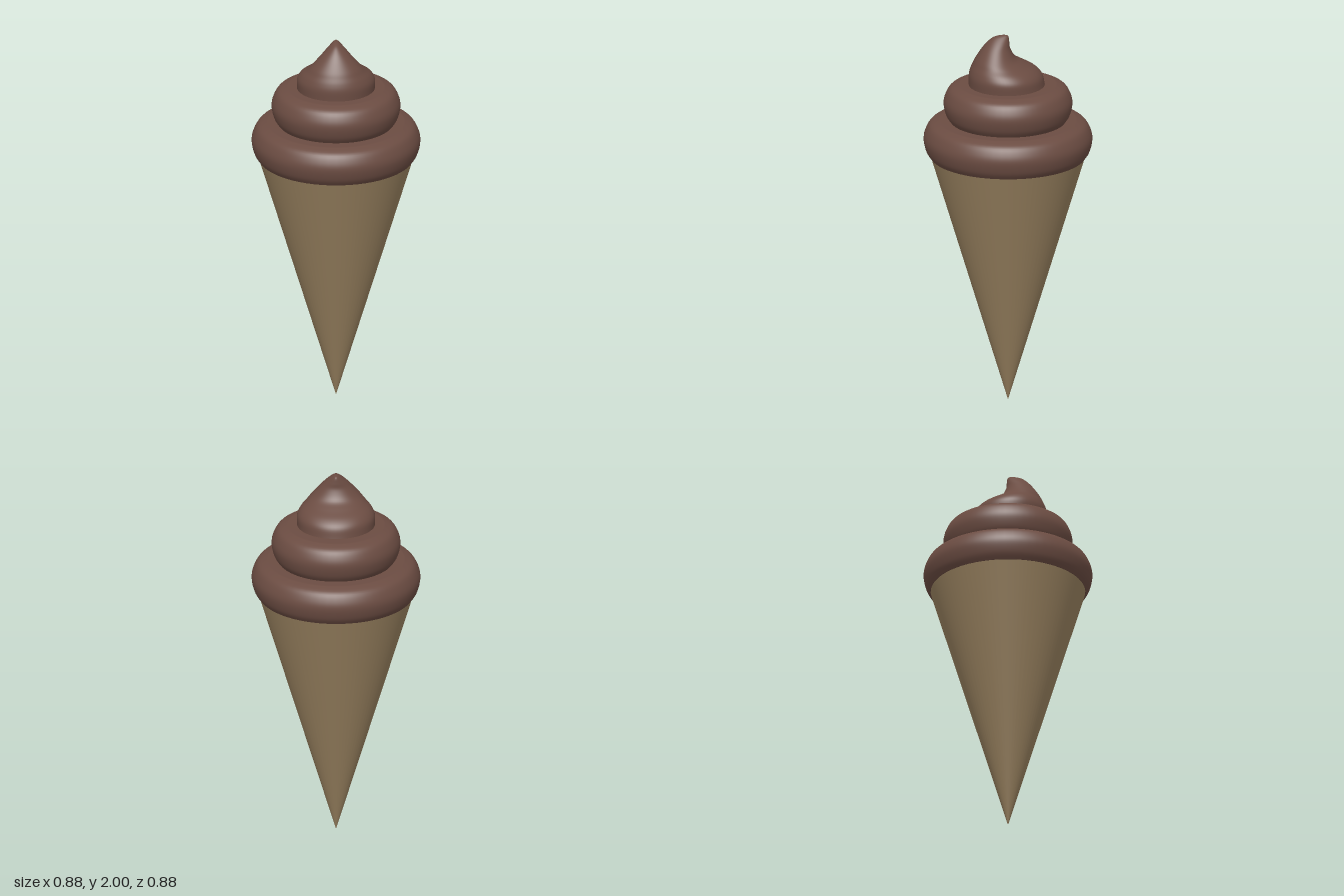
import * as THREE from 'three';

const SEGMENTS = 64;
const chocolate = new THREE.MeshStandardMaterial({ color: 0x6b4c42 });
const wafer = new THREE.MeshStandardMaterial({ color: 0x98815f });

function addMesh(group, name, geometry, material) {
  const mesh = new THREE.Mesh(geometry, material);
  mesh.name = name;
  group.add(mesh);
  return mesh;
}

// Soft bulging ring of cream: outer radius and underside height
function tierGeometry(radius, base) {
  const section = [
    [-0.034, 0], [-0.012, 0.035], [0, 0.09], [-0.009, 0.135],
    [-0.035, 0.175], [-0.085, 0.195],
  ].map(([dr, dy]) => new THREE.Vector2(radius + dr, base + dy));
  const outline = new THREE.SplineCurve(section).getPoints(24);
  const top = base + 0.195;
  return new THREE.LatheGeometry([
    new THREE.Vector2(0, base), new THREE.Vector2(radius - 0.034, base),
    ...outline,
    new THREE.Vector2(radius - 0.15, top), new THREE.Vector2(0, top),
  ], SEGMENTS);
}

// Curled peak: stacked oval sections, steep bulging front and scooped back
function peakGeometry() {
  // height, half width, front z, back z
  const rows = [
    [1.73, 0.203, 0.205, -0.192],
    [1.78, 0.203, 0.205, -0.18],
    [1.815, 0.185, 0.197, -0.147],
    [1.845, 0.155, 0.184, -0.09],
    [1.875, 0.128, 0.169, -0.04],
    [1.925, 0.084, 0.137, -0.012],
    [1.96, 0.052, 0.109, -0.007],
    [1.985, 0.026, 0.08, -0.004],
    [1.996, 0.011, 0.05, 0.002],
    [2.0, 0, 0.02, 0.018],
  ];
  const spline = (pick) => new THREE.CatmullRomCurve3(
    rows.map((r) => new THREE.Vector3(...pick(r))), false, 'catmullrom', 0.5);
  const sides = spline(([y, w]) => [w, y, 0]);
  const depths = spline(([, , front, back]) => [front, back, 0]);

  const steps = 45;
  const positions = [];
  const indices = [];
  for (let i = 0; i <= steps; i++) {
    const { x: w, y } = sides.getPoint(i / steps);
    const { x: front, y: back } = depths.getPoint(i / steps);
    const mid = (front + back) * 0.5;
    for (let j = 0; j < SEGMENTS; j++) {
      const a = (j / SEGMENTS) * Math.PI * 2;
      positions.push(Math.sin(a) * w, y, mid + Math.cos(a) * (front - back) * 0.5);
      if (i < steps) {
        const k = (j + 1) % SEGMENTS;
        const p = i * SEGMENTS + j, q = i * SEGMENTS + k;
        indices.push(p, q, q + SEGMENTS, p, q + SEGMENTS, p + SEGMENTS);
      }
    }
  }
  const geometry = new THREE.BufferGeometry();
  geometry.setAttribute('position', new THREE.Float32BufferAttribute(positions, 3));
  geometry.setIndex(indices);
  geometry.computeVertexNormals();
  return geometry;
}

export function createModel() {
  const model = new THREE.Group();
  model.name = 'iceCreamCone';

  // Wafer cone standing on its point
  const cone = addMesh(model, 'cone', new THREE.ConeGeometry(0.403, 1.34, SEGMENTS), wafer);
  cone.rotation.x = Math.PI;
  cone.position.y = 0.67;

  // Two rings of cream and the curled peak
  addMesh(model, 'lowerTier', tierGeometry(0.44, 1.34), chocolate);
  addMesh(model, 'middleTier', tierGeometry(0.336, 1.535), chocolate);
  addMesh(model, 'curledPeak', peakGeometry(), chocolate);
  return model;
}
